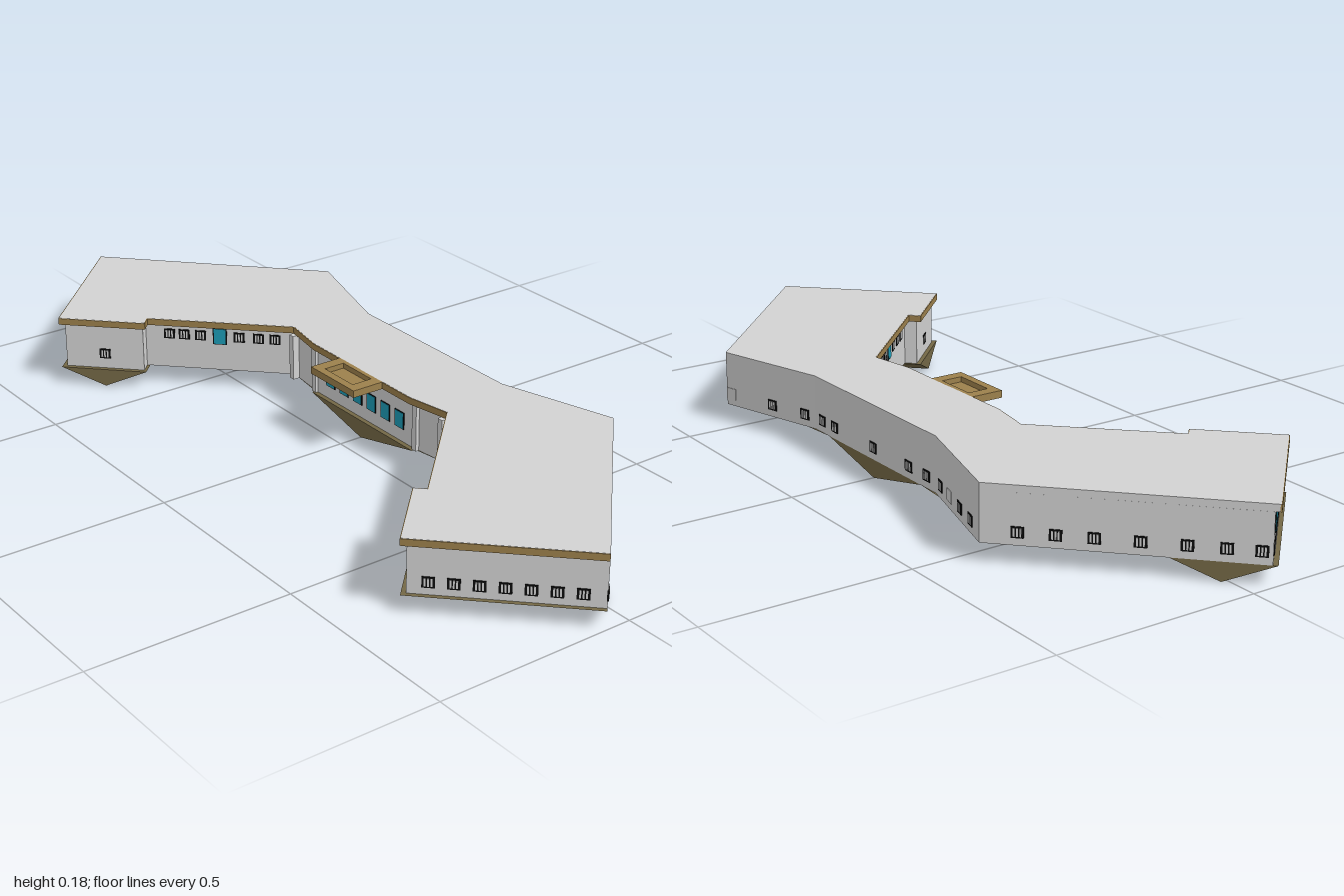
import * as THREE from 'three';
import { ConvexGeometry } from 'three/addons/geometries/ConvexGeometry.js';

const FLOOR = 0.045, EAVE = 0.163, TOP = 0.18;

const mat = (name, color) => {
  const m = new THREE.MeshStandardMaterial({ color });
  m.name = name;
  return m;
};

// Half outline (z > 0 wing), mirrored into a closed ring
const ring = (half) => [...half, ...half.map(([x, z]) => [x, -z]).reverse()];

export function createModel() {
  const group = new THREE.Group();
  const wall = mat('light grey wall', 0xd2d2d2);
  const wood = mat('wood', 0x9c804c);
  const earth = mat('olive brown base', 0x746846);
  const black = mat('black frame', 0x0c0c0c);
  const teal = mat('teal glass', 0x1c9bb5);

  const add = (name, geometry, material, parent = group) => {
    const m = new THREE.Mesh(geometry, material);
    m.name = name;
    parent.add(m);
    return m;
  };

  // Horizontal slab from a plan outline
  const slab = (name, pts, y0, y1, material) => {
    const shape = new THREE.Shape(pts.map(([x, z]) => new THREE.Vector2(x, -z)));
    const g = new THREE.ExtrudeGeometry(shape, { depth: y1 - y0, bevelEnabled: false });
    g.rotateX(-Math.PI / 2);
    g.translate(0, y0, 0);
    return add(name, g, material);
  };

  // Walls, set back under the eaves on the ends and the courtyard side
  const body = ring([[0.072, 0.19], [0.086, 0.311], [-0.184, 0.581], [-0.207, 0.558],
    [-0.349, 0.70], [-0.057, 0.992], [0.365, 0.55], [0.28, 0.26]].reverse());
  slab('walls', body, FLOOR, EAVE, wall);

  const roof = ring([[0.28, 0.26], [0.365, 0.55], [-0.065, 1.0], [-0.365, 0.70],
    [-0.21, 0.545], [-0.188, 0.568], [0.08, 0.303], [0.06, 0.19]]);
  slab('roof', roof, EAVE, TOP, wall);

  // Wooden fascia along the ends and courtyard edges
  const strip = (name, [x0, z0], [x1, z1], material, y0, y1, thick) => {
    const len = Math.hypot(x1 - x0, z1 - z0);
    const m = add(name, new THREE.BoxGeometry(len, y1 - y0, thick), material);
    m.position.set((x0 + x1) / 2, (y0 + y1) / 2, (z0 + z1) / 2);
    m.rotation.y = -Math.atan2(z1 - z0, x1 - x0);
  };
  for (let i = 2; i < 13; i++) {
    strip('fascia', roof[i], roof[i + 1], wood, EAVE, TOP - 0.0005, 0.004);
  }

  // Courtyard piers beside the entrance
  for (const s of [1, -1]) {
    for (const z of [0.2, 0.295]) {
      const p = add('pier', new THREE.BoxGeometry(0.018, EAVE - FLOOR, 0.016), wall);
      p.position.set(0.074, (EAVE + FLOOR) / 2, s * z);
    }
  }

  // Window: a plate on a wall running p to q, at fraction t
  const windowAt = (p, q, t, y, kind = 'barred') => {
    const dx = q[0] - p[0], dz = q[1] - p[1], len = Math.hypot(dx, dz);
    const g = new THREE.Group();
    g.name = kind + 'Window';
    g.position.set(p[0] + dx * t, y, p[1] + dz * t);
    g.rotation.y = Math.atan2(-dz / len, dx / len);
    group.add(g);
    if (kind === 'plain') {
      add('hatch', new THREE.BoxGeometry(0.03, 0.028, 0.003), wall, g);
    } else if (kind === 'teal') {
      add('frame', new THREE.BoxGeometry(0.036, 0.044, 0.003), black, g);
      add('glass', new THREE.BoxGeometry(0.03, 0.04, 0.005), teal, g);
    } else {
      add('frame', new THREE.BoxGeometry(0.028, 0.026, 0.004), black, g);
      for (const x of [-0.007, 0, 0.007]) {
        add('pane', new THREE.BoxGeometry(0.004, 0.019, 0.006), wall, g).position.x = x;
      }
    }
  };
  const row = (p, q, ts, y, kind) => ts.forEach((t) => windowAt(p, q, t, y, kind));

  const Y = 0.075;
  const endL = [[-0.349, 0.70], [-0.057, 0.992]];
  const sideL = [[-0.065, 1.0], [0.365, 0.55]];
  const bendL = [[0.365, 0.55], [0.28, 0.26]];
  const back = [[0.28, 0.26], [0.28, -0.26]];
  const bendR = [[0.28, -0.26], [0.365, -0.55]];
  const sideR = [[0.365, -0.55], [-0.065, -1.0]];
  const endR = [[-0.057, -0.992], [-0.349, -0.70]];
  const even = (n, a, b) => Array.from({ length: n }, (_, i) => a + (b - a) * i / (n - 1));

  // End windows
  row(...endL, even(7, 0.11, 0.88), Y);
  row(...endR, even(8, 0.06, 0.9), Y);
  row(...endR, even(8, 0.06, 0.92), 0.136, 'teal');
  // Outer wall windows
  row(...sideL, [0.04, 0.285, 0.655], Y);
  row(...sideL, [0.925], Y, 'plain');
  row(...bendL, [0.05], Y, 'plain');
  row(...bendL, [0.52, 0.88], Y);
  row(...back, [0.06, 0.17, 0.5, 0.79, 0.93], Y);
  row(...bendR, [0.12, 0.57, 0.81], Y);
  row(...bendR, [0.33], Y, 'plain');
  row(...sideR, [0.13, 0.26, 0.39, 0.545, 0.70, 0.83, 0.945], Y);

  // Courtyard windows, on both wings and around the entrance
  const innerL = [[0.086, 0.311], [-0.184, 0.581]];
  const innerR = [[-0.184, -0.581], [0.086, -0.311]];
  for (const w of [innerL, innerR]) {
    row(...w, [0.16, 0.26, 0.37, 0.63, 0.76, 0.87], 0.137);
    row(...w, [0.5], 0.137, 'teal');
  }
  windowAt([-0.207, 0.558], [-0.349, 0.70], 0.5, 0.085);
  windowAt([-0.349, -0.70], [-0.207, -0.558], 0.5, 0.085);
  row([0.072, -0.19], [0.072, 0.19], even(6, 0.14, 0.86), 0.1, 'teal');

  // Entrance canopy: a shallow wooden tray
  const canopy = new THREE.Group();
  canopy.name = 'entranceCanopy';
  group.add(canopy);
  const box = (name, w, h, d, x, y, z) =>
    add(name, new THREE.BoxGeometry(w, h, d), wood, canopy).position.set(x, y, z);
  box('canopyFloor', 0.087, 0.005, 0.17, 0.0185, 0.1645, 0);
  box('canopyFrontRim', 0.02, 0.017, 0.17, -0.015, 0.1715, 0);
  box('canopyRearRim', 0.012, 0.017, 0.17, 0.055, 0.1715, 0);
  for (const s of [-1, 1]) box('canopySideRim', 0.085, 0.017, 0.03, 0.0175, 0.1715, s * 0.07);

  // Folded base: inverted ridges and pyramids below the floor
  const hull = (name, upper, lower) => add(name, new ConvexGeometry([
    ...upper.map(([x, z]) => new THREE.Vector3(x, FLOOR, z)),
    ...lower.map(([x, z]) => new THREE.Vector3(x, 0, z))]), earth);
  for (const s of [1, -1]) {
    const m = (pts) => pts.map(([x, z]) => [x, s * z]);
    hull('endRidge', m([[-0.065, 1.0], [-0.365, 0.70], [-0.21, 0.545], [0.09, 0.838]]),
      m([[-0.285, 0.62], [0.015, 0.917]]));
    hull('wingPyramid', m([[0.09, 0.838], [0.365, 0.55], [0.104, 0.49], [-0.061, 0.69]]),
      m([[0.13, 0.62]]));
    hull('cornerPyramid', m([[0.365, 0.55], [0.288, 0.29], [0.086, 0.311], [0.104, 0.49]]),
      m([[0.175, 0.41]]));
    hull('smallPyramid', m([[0.288, 0.29], [0.28, 0.2], [0.07, 0.2], [0.086, 0.311]]),
      m([[0.18, 0.25]]));
  }
  hull('centreRidge', [[0.28, 0.2], [0.28, -0.2], [0.06, -0.2], [0.06, 0.2]],
    [[0.28, 0], [0.06, 0]]);

  return group;
}
